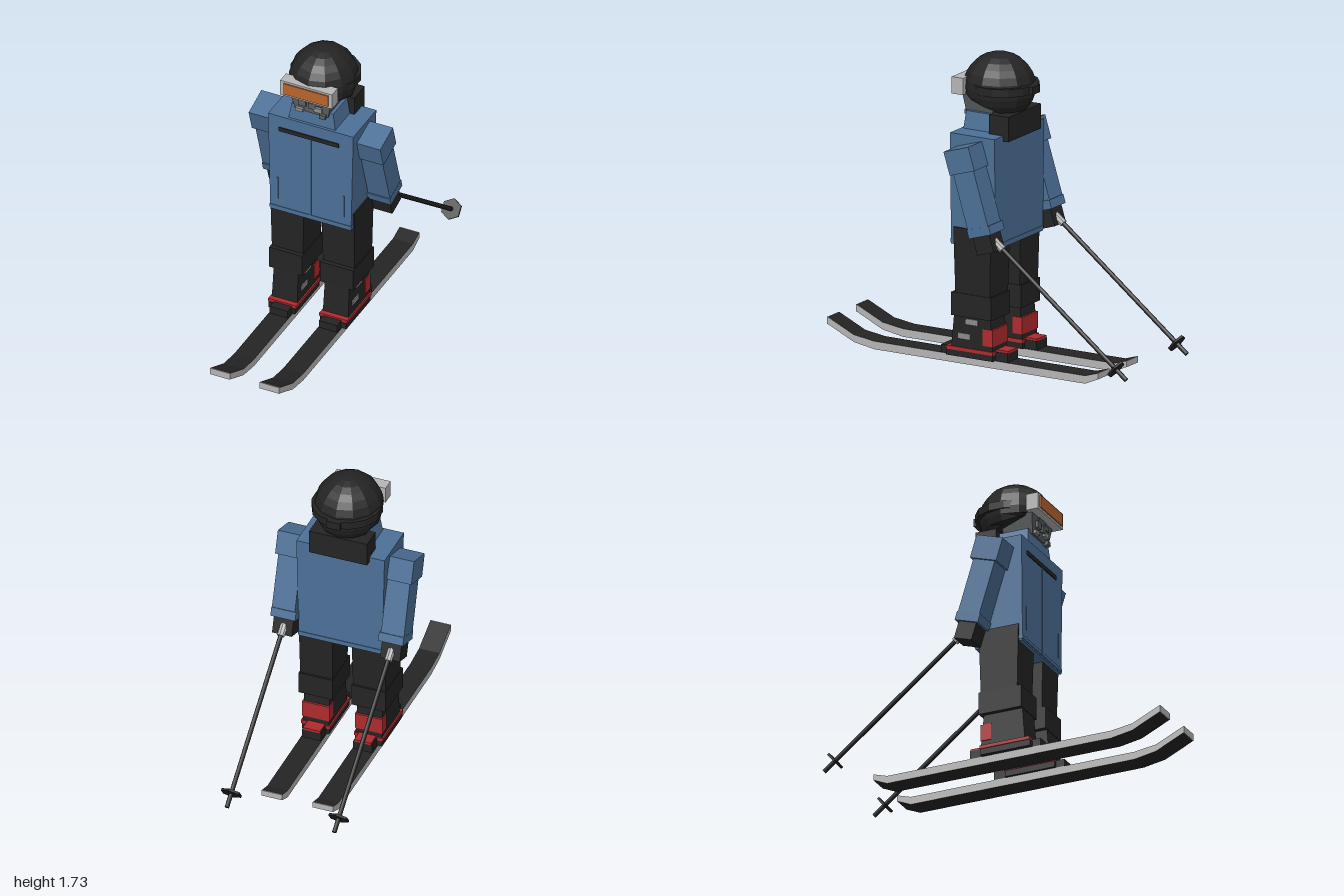
import * as THREE from 'three';

const mat = (name, color) => {
  const m = new THREE.MeshStandardMaterial({ color });
  m.name = name;
  return m;
};

export function createModel() {
  const blue = mat('jacket blue', 0x4c7097);
  const black = mat('black', 0x242424);
  const grey = mat('light grey', 0xb6b6b6);
  const red = mat('boot red', 0xb02a2e);
  const face = mat('mask grey', 0x5a6060);
  const buckleGrey = mat('buckle grey', 0x8c8c90);
  const orange = mat('lens orange', 0xb8652c);

  const root = new THREE.Group();
  root.name = 'skier';

  const add = (parent, name, geo, material, x = 0, y = 0, z = 0, rx = 0) => {
    const m = new THREE.Mesh(geo, material);
    m.name = name;
    m.position.set(x, y, z);
    m.rotation.x = rx;
    parent.add(m);
    return m;
  };

  // box whose top face is scaled by tx, tz
  const block = (w, h, d, tx = 1, tz = 1) => {
    const g = new THREE.BoxGeometry(w, h, d);
    const p = g.attributes.position;
    for (let i = 0; i < p.count; i++) {
      if (p.getY(i) > 0) p.setXYZ(i, p.getX(i) * tx, p.getY(i), p.getZ(i) * tz);
    }
    g.computeVertexNormals();
    return g;
  };
  const flat = (g) => {
    const n = g.toNonIndexed();
    n.computeVertexNormals();
    return n;
  };

  // ---- torso ----
  add(root, 'jacket', block(0.49, 0.63, 0.285, 1.055, 1), blue, 0, 0.995, 0.0425);
  add(root, 'jacketHem', block(0.496, 0.02, 0.292), blue, 0, 0.7, 0.0425);
  add(root, 'zipper', block(0.008, 0.54, 0.006), blue, 0, 0.96, 0.187);
  add(root, 'chestPocket', block(0.365, 0.025, 0.008), black, -0.01, 1.227, 0.187);
  for (const s of [-1, 1]) add(root, 'sidePocket', block(0.008, 0.14, 0.006), blue, s * 0.2, 0.83, 0.187);
  add(root, 'collar', block(0.285, 0.1, 0.19, 0.88, 0.92), blue, 0, 1.357, 0.075);
  add(root, 'hood', block(0.34, 0.14, 0.125), black, 0, 1.35, -0.0725);

  // ---- head ----
  add(root, 'faceMask', flat(new THREE.SphereGeometry(0.15, 10, 8).scale(0.95, 0.95, 1)), face, 0, 1.53, 0.055);
  add(root, 'chin', block(0.2, 0.13, 0.17, 1.3, 1.15), face, 0, 1.45, 0.09);
  const lumps = [
    [-0.05, 1.45, 0.045, 0.04, face], [0.01, 1.445, 0.04, 0.035, face],
    [0.045, 1.427, 0.05, 0.028, buckleGrey], [-0.068, 1.398, 0.045, 0.02, buckleGrey],
    [0.073, 1.39, 0.035, 0.025, face], [0.045, 1.468, 0.05, 0.025, face],
  ];
  for (const [x, y, w, h, m] of lumps) add(root, 'maskVent', block(w, h, 0.03), m, x, y, 0.18);

  // helmet shell: sphere trimmed by a slanted plane
  const shell = new THREE.SphereGeometry(1, 12, 14).scale(0.19, 0.19, 0.202);
  const sp = shell.attributes.position;
  for (let i = 0; i < sp.count; i++) {
    sp.setY(i, Math.max(sp.getY(i), -0.092 + 0.33 * sp.getZ(i)));
  }
  add(root, 'helmet', flat(shell), black, 0, 1.54, 0.025);

  // goggles and strap
  add(root, 'goggleStrap', flat(new THREE.CylinderGeometry(0.197, 0.197, 0.045, 14)), black, 0, 1.548, 0);
  add(root, 'strapClip', block(0.08, 0.045, 0.03), black, 0, 1.548, -0.193);
  add(root, 'goggleFrame', block(0.315, 0.095, 0.072), grey, -0.002, 1.547, 0.201);
  add(root, 'goggleLens', block(0.27, 0.07, 0.009), orange, -0.002, 1.548, 0.24);

  // ---- ski profile in (z, y) ----
  const profile = new THREE.Shape([
    [-0.73, 0.035], [-0.65, 0], [0.7, 0], [0.83, 0.022], [0.997, 0.1],
    [0.997, 0.14], [0.83, 0.063], [0.7, 0.045], [-0.65, 0.045], [-0.73, 0.07],
  ].map(([z, y]) => new THREE.Vector2(z, y)));
  const skiGeo = new THREE.ExtrudeGeometry(profile, { depth: 0.12, bevelEnabled: false });
  skiGeo.translate(0, 0, -0.06).rotateY(-Math.PI / 2);

  const tilt = 0.3;
  for (const s of [-1, 1]) {
    const side = s > 0 ? 'left' : 'right';

    // ---- arm, built hanging down from the shoulder and swung back ----
    const arm = new THREE.Group();
    arm.name = side + 'Arm';
    arm.position.set(s * 0.32, 1.2, 0.04);
    arm.rotation.x = tilt;
    root.add(arm);
    add(arm, 'shoulder', block(0.155, 0.135, 0.165), blue, s * 0.002);
    add(arm, 'sleeve', block(0.135, 0.45, 0.135, 0.97, 1), blue, 0, -0.205, 0);
    add(arm, 'cuff', block(0.145, 0.05, 0.146), blue, -s * 0.004, -0.405, 0);
    add(arm, 'glove', block(0.115, 0.1, 0.11), black, -s * 0.003, -0.48, 0.002);

    // ---- ski pole, built along -y and laid back ----
    const pole = new THREE.Group();
    pole.name = side + 'Pole';
    pole.position.set(s * 0.315, 0.755, -0.14);
    pole.rotation.x = Math.atan2(0.85, 0.672);
    root.add(pole);
    add(pole, 'shaft', new THREE.CylinderGeometry(0.013, 0.013, 1.07, 8), black, 0, -0.535, 0);
    add(pole, 'grip', flat(new THREE.CylinderGeometry(0.022, 0.022, 0.09, 8)), grey, 0, -0.018, 0);
    add(pole, 'basket', flat(new THREE.CylinderGeometry(0.06, 0.06, 0.013, 6)), black, 0, -0.985, 0);

    // ---- leg ----
    const leg = new THREE.Group();
    leg.name = side + 'Leg';
    leg.position.x = s * 0.155;
    root.add(leg);
    add(leg, 'trouser', block(0.19, 0.38, 0.22, 1.06, 1.09), black, 0, 0.59, 0.045);
    add(leg, 'trouserCuff', block(0.2, 0.13, 0.255), black, 0, 0.345, 0.052);

    // ---- boot ----
    add(leg, 'boot', block(0.155, 0.2, 0.265, 0.95, 0.87), black, 0, 0.19, 0.06);
    add(leg, 'bootSole', block(0.16, 0.035, 0.3), black, 0, 0.0625, 0.075);
    add(leg, 'soleTrim', block(0.17, 0.02, 0.3), red, 0, 0.09, 0.072);
    add(leg, 'heelSpoiler', block(0.162, 0.095, 0.062), red, 0, 0.175, -0.042);
    add(leg, 'upperBuckle', block(0.008, 0.03, 0.075), buckleGrey, 0.077, 0.25, 0.06);
    add(leg, 'lowerBuckle', block(0.008, 0.03, 0.075), buckleGrey, 0.078, 0.165, 0.108);

    // ---- bindings and ski ----
    const ski = new THREE.Group();
    ski.name = side + 'Ski';
    ski.position.x = s * 0.15;
    root.add(ski);
    add(ski, 'toeBinding', block(0.11, 0.045, 0.1), black, 0, 0.0675, 0.225);
    add(ski, 'heelBinding', block(0.11, 0.05, 0.1), black, 0, 0.07, -0.1);
    add(ski, 'heelLever', block(0.1, 0.014, 0.075), red, 0, 0.1, -0.113);
    add(ski, 'skiBlade', skiGeo, [grey, black]);
    add(ski, 'tipEdge', block(0.12, 0.04, 0.005), grey, 0, 0.12, 0.9975);
    add(ski, 'tailEdge', block(0.12, 0.035, 0.004), grey, 0, 0.0525, -0.73);
  }
  return root;
}
